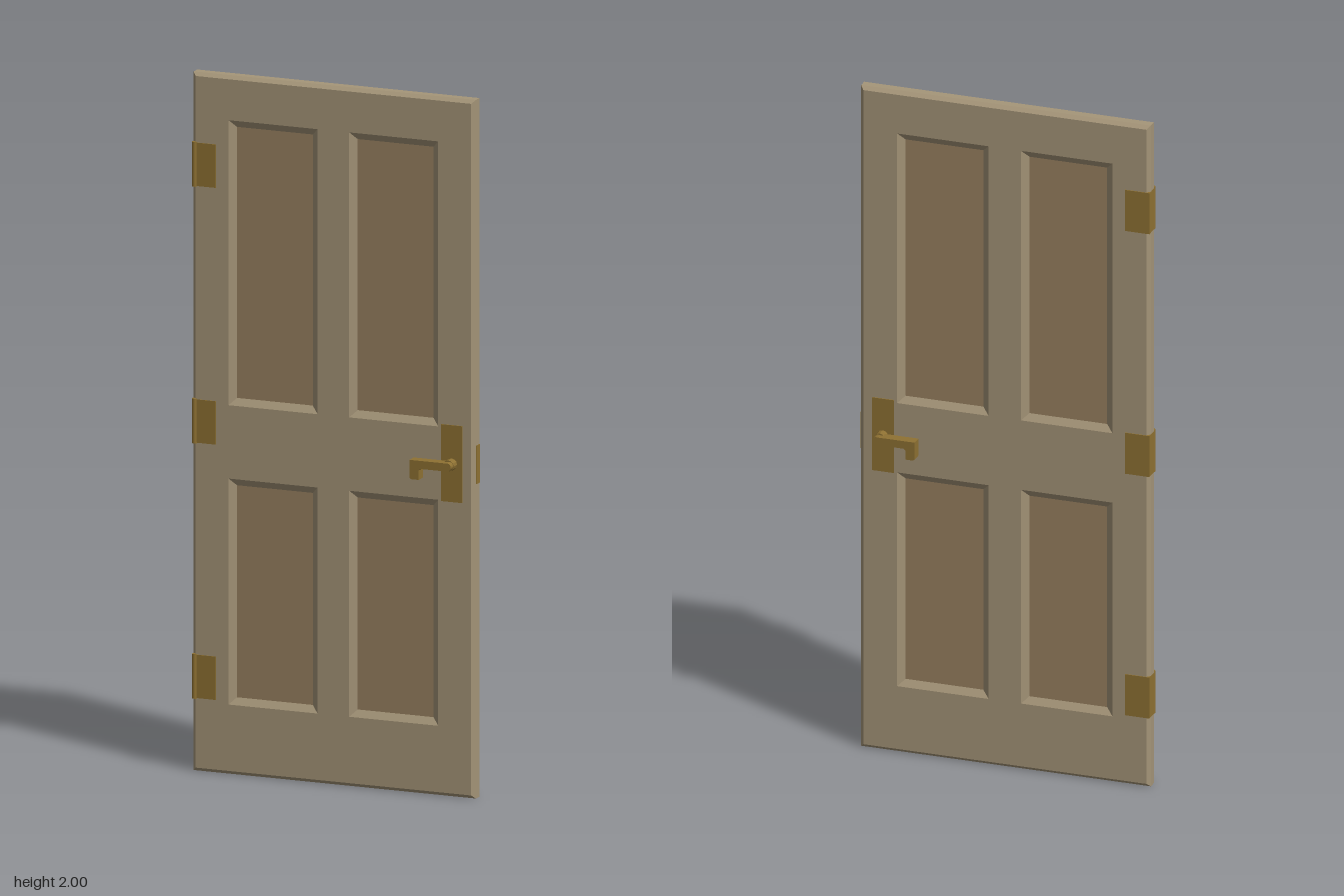
import * as THREE from 'three';

const W = 0.856, H = 2, Z = 0.0225, CHAMFER = 0.01, BEVEL = 0.02, DEPTH = 0.013;
const wood = new THREE.MeshStandardMaterial({ color: 0xa69679, flatShading: true });
const panelWood = new THREE.MeshStandardMaterial({ color: 0x9a8262, flatShading: true });
const brass = new THREE.MeshStandardMaterial({ color: 0x8f7233, flatShading: true });

function add(parent, name, geometry, material, x = 0, y = 0, z = 0) {
  const mesh = new THREE.Mesh(geometry, material);
  mesh.name = name;
  mesh.position.set(x, y, z);
  parent.add(mesh);
  return mesh;
}

const corners = ([x0, x1, y0, y1], inset = 0) => [
  [x0 + inset, y0 + inset], [x1 - inset, y0 + inset],
  [x1 - inset, y1 - inset], [x0 + inset, y1 - inset],
];

// Four-sided band joining two rectangles at different depths
function band(rect, insetA, zA, insetB, zB) {
  const a = corners(rect, insetA), b = corners(rect, insetB);
  const pos = [], index = [];
  for (let i = 0; i < 4; i++) {
    const j = (i + 1) % 4, n = i * 4;
    pos.push(...a[i], zA, ...a[j], zA, ...b[j], zB, ...b[i], zB);
    index.push(n, n + 1, n + 2, n, n + 2, n + 3);
  }
  const g = new THREE.BufferGeometry();
  g.setAttribute('position', new THREE.Float32BufferAttribute(pos, 3));
  g.setIndex(index);
  g.computeVertexNormals();
  return g;
}

const toPoints = (list) => list.map(([x, y]) => new THREE.Vector2(x, y));

// One face of the door: frame, chamfered rim and four sunken panels
function doorFace(name) {
  const face = new THREE.Group();
  face.name = name;
  const outer = [-W / 2, W / 2, 0, H];
  const panels = [];
  for (const [y0, y1] of [[0.2, 0.847], [1.057, 1.873]]) {
    panels.push([-0.318, -0.048, y0, y1], [0.048, 0.318, y0, y1]);
  }
  const shape = new THREE.Shape(toPoints(corners(outer, CHAMFER)));
  for (const p of panels) shape.holes.push(new THREE.Path(toPoints(corners(p))));
  add(face, 'frame', new THREE.ShapeGeometry(shape), wood, 0, 0, Z);
  add(face, 'rimChamfer', band(outer, 0, Z - CHAMFER, CHAMFER, Z), wood);
  for (const p of panels) {
    add(face, 'panelMoulding', band(p, 0, Z, BEVEL, Z - DEPTH), wood);
    const [x0, x1, y0, y1] = p;
    add(face, 'panel', new THREE.PlaneGeometry(x1 - x0 - 2 * BEVEL, y1 - y0 - 2 * BEVEL),
      panelWood, (x0 + x1) / 2, (y0 + y1) / 2, Z - DEPTH);
  }
  return face;
}

// Lever outline: bar with a rounded pivot end and a drop at the tip
function leverGeometry() {
  const s = new THREE.Shape();
  s.moveTo(0.363, 0.965);
  s.lineTo(0.25, 0.965);
  s.lineTo(0.25, 0.914);
  s.lineTo(0.255, 0.91);
  s.lineTo(0.278, 0.91);
  s.lineTo(0.278, 0.937);
  s.lineTo(0.284, 0.942);
  s.lineTo(0.363, 0.942);
  s.absarc(0.363, 0.9535, 0.0125, -Math.PI / 2, Math.PI / 2, false);
  return new THREE.ExtrudeGeometry(s, { depth: 0.031, bevelEnabled: false, curveSegments: 5 });
}

export function createModel() {
  const door = new THREE.Group();
  door.name = 'door';

  // Door leaf
  const back = doorFace('backFace');
  back.rotation.y = Math.PI;
  door.add(doorFace('frontFace'), back);
  const edge = Z - CHAMFER;
  add(door, 'edge', band([-W / 2, W / 2, 0, H], 0, -edge, 0, edge), wood);

  // Handles on both sides
  const lever = leverGeometry();
  for (const side of [1, -1]) {
    const handle = new THREE.Group();
    handle.name = side > 0 ? 'frontHandle' : 'backHandle';
    add(handle, 'plate', new THREE.BoxGeometry(0.064, 0.22, 0.006), brass, 0.359, 0.955, side * 0.0225);
    const spindle = add(handle, 'spindle', new THREE.CylinderGeometry(0.0165, 0.0165, 0.028, 12),
      brass, 0.36, 0.9535, side * 0.036);
    spindle.rotation.x = Math.PI / 2;
    add(handle, 'lever', lever, brass, 0, 0, side > 0 ? 0.037 : -0.068);
    door.add(handle);
  }

  // Latch plate on the closing edge
  add(door, 'latchPlate', new THREE.BoxGeometry(0.004, 0.11, 0.024), brass, W / 2, 0.955, 0);

  // Three hinges
  for (const y of [0.272, 1.003, 1.738]) {
    const hinge = new THREE.Group();
    hinge.name = 'hinge';
    add(hinge, 'leaf', new THREE.BoxGeometry(0.072, 0.124, 0.05), brass, -0.392, y, 0);
    add(hinge, 'barrel', new THREE.CylinderGeometry(0.008, 0.008, 0.128, 10), brass, -0.421, y, 0.021);
    door.add(hinge);
  }
  return door;
}
